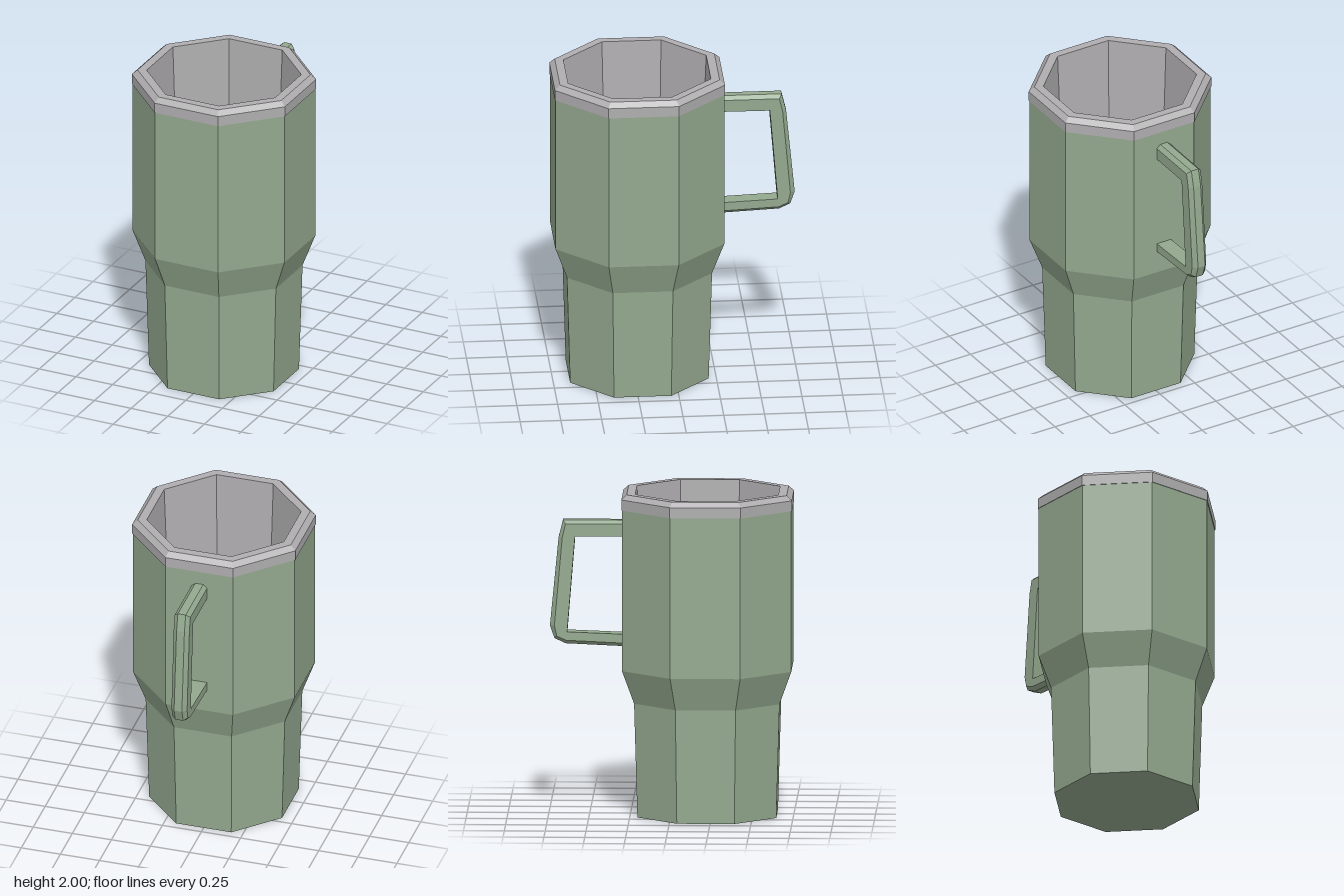
import * as THREE from 'three';

const AXIS_Z = 0.222;

// Eight-sided turned shape; profile is [distance to flat face, height]
function octagon(name, profile, material) {
  const points = profile.map(([flat, y]) => new THREE.Vector2(flat / Math.cos(Math.PI / 8), y));
  const mesh = new THREE.Mesh(new THREE.LatheGeometry(points, 8, Math.PI / 8), material);
  mesh.name = name;
  mesh.position.z = AXIS_Z;
  return mesh;
}

// Handle: six-sided section, bevelled on its outer side, swept along stations
function handleGeometry() {
  // each station: inner z,y / bevel z,y / outer z,y
  const stations = [
    [-0.27, 1.72, -0.27, 1.795, -0.27, 1.817],
    [-0.589, 1.718, -0.647, 1.795, -0.663, 1.817],
    [-0.589, 1.718, -0.667, 1.71, -0.69, 1.71],
    [-0.637, 1.127, -0.715, 1.165, -0.743, 1.165],
    [-0.637, 1.127, -0.70, 1.10, -0.716, 1.085],
    [-0.637, 1.127, -0.643, 1.075, -0.647, 1.053],
    [-0.27, 1.113, -0.27, 1.058, -0.27, 1.036],
  ];
  const positions = [];
  const index = [];
  for (const [iz, iy, mz, my, oz, oy] of stations) {
    positions.push(-0.05, iy, iz, 0.05, iy, iz, 0.05, my, mz);
    positions.push(0.025, oy, oz, -0.025, oy, oz, -0.05, my, mz);
  }
  for (let s = 0; s < stations.length - 1; s++) {
    for (let k = 0; k < 6; k++) {
      const a = s * 6 + k, b = s * 6 + (k + 1) % 6;
      index.push(a, a + 6, b, b, a + 6, b + 6);
    }
  }
  const geometry = new THREE.BufferGeometry();
  geometry.setAttribute('position', new THREE.Float32BufferAttribute(positions, 3));
  geometry.setIndex(index);
  const flat = geometry.toNonIndexed();
  flat.computeVertexNormals();
  return flat;
}

export function createModel() {
  const green = new THREE.MeshStandardMaterial({ color: 0x94a98f, flatShading: true });
  green.name = 'sageGreen';
  const steel = new THREE.MeshStandardMaterial({ color: 0xb0aeb0, flatShading: true });
  steel.name = 'steelGrey';

  const model = new THREE.Group();
  model.name = 'tumbler';

  // Outer shell with closed base
  model.add(octagon('body', [
    [0, 0], [0.425, 0], [0.445, 0.705], [0.518, 0.91], [0.518, 1.905],
  ], green));

  // Bevelled rim running into the inner wall and floor
  model.add(octagon('rimAndLining', [
    [0.51, 1.905], [0.522, 1.905], [0.522, 1.97], [0.49, 2], [0.438, 2], [0.362, 0.06], [0, 0.06],
  ], steel));

  const handle = new THREE.Mesh(handleGeometry(), green);
  handle.name = 'handle';
  model.add(handle);

  return model;
}
